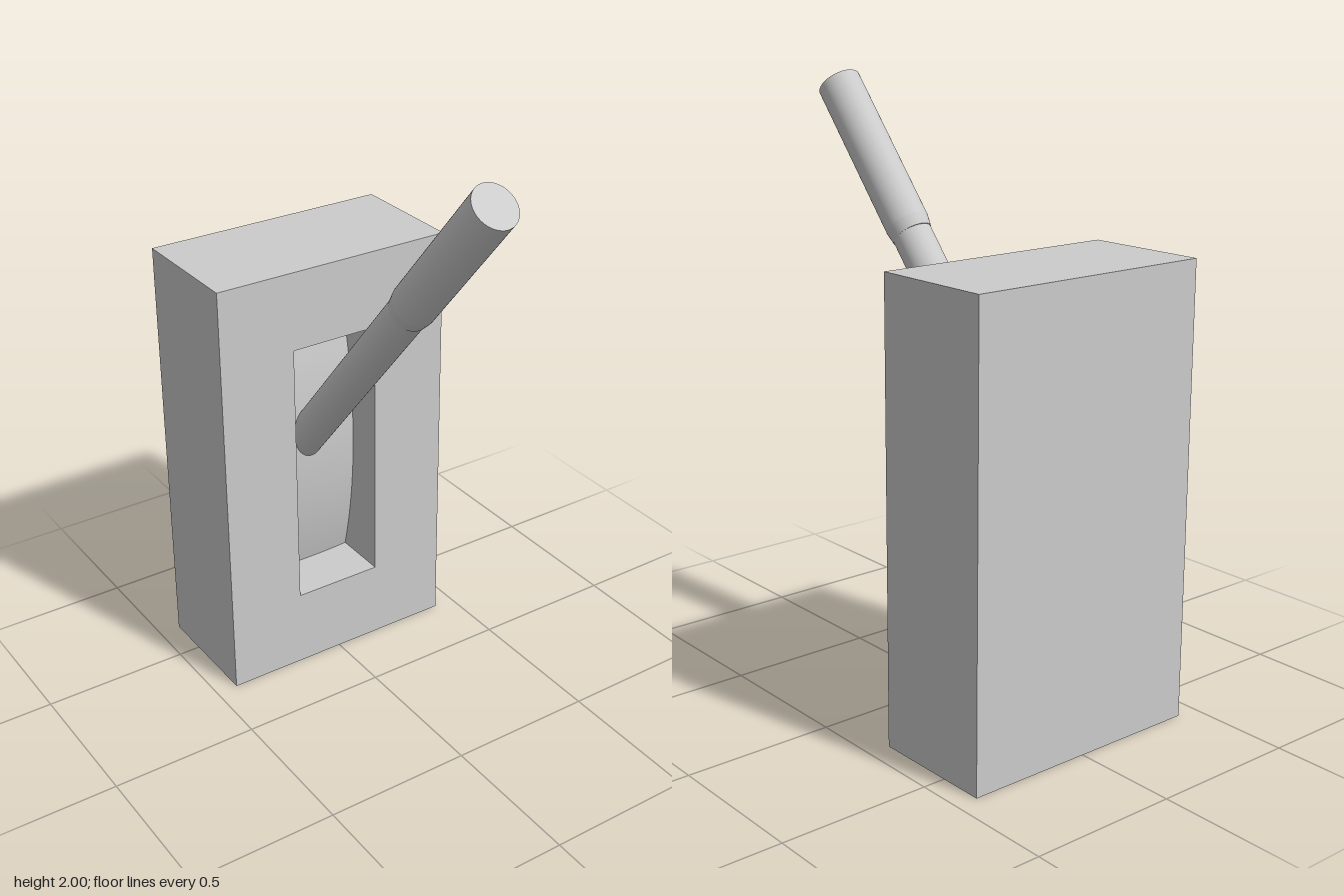
import * as THREE from 'three';

const material = new THREE.MeshStandardMaterial({ color: 0xcccccc });

function add(parent, name, geometry) {
  const mesh = new THREE.Mesh(geometry, material);
  mesh.name = name;
  parent.add(mesh);
  return mesh;
}

// Rectangle outline, used for the housing and its slot
function rectangle(PathType, x0, y0, x1, y1) {
  return new PathType([[x0, y0], [x1, y0], [x1, y1], [x0, y1]].map(([x, y]) => new THREE.Vector2(x, y)));
}

export function createModel() {
  const model = new THREE.Group();
  model.name = 'leverSwitch';

  const halfWidth = 0.425, height = 1.49;
  const frontZ = -0.23, backZ = -0.65, splitZ = -0.45;
  const slot = { x0: -0.158, x1: 0.155, y0: 0.275, y1: 1.22 };

  // Front of the housing with the slot cut through
  const face = rectangle(THREE.Shape, -halfWidth, 0, halfWidth, height);
  face.holes.push(rectangle(THREE.Path, slot.x0, slot.y0, slot.x1, slot.y1));
  const front = add(model, 'housingFront',
    new THREE.ExtrudeGeometry(face, { depth: frontZ - splitZ, bevelEnabled: false }));
  front.position.z = splitZ;

  // Solid back of the housing
  const back = add(model, 'housingBack',
    new THREE.BoxGeometry(halfWidth * 2, height, splitZ - backZ));
  back.position.set(0, height / 2, (splitZ + backZ) / 2);

  // Slot floor: a patch of a large sphere bulging toward the front
  const radius = 1.95, apexZ = frontZ - 0.13;
  const floor = new THREE.PlaneGeometry(slot.x1 - slot.x0, slot.y1 - slot.y0, 12, 32);
  const p = floor.attributes.position;
  for (let i = 0; i < p.count; i++) {
    const x = p.getX(i), y = p.getY(i);
    p.setZ(i, Math.sqrt(radius * radius - x * x - y * y) - radius);
  }
  floor.computeVertexNormals();
  add(model, 'slotFloor', floor)
    .position.set((slot.x0 + slot.x1) / 2, (slot.y0 + slot.y1) / 2, apexZ);

  // Lever, built downward from the centre of its tip, then tilted forward
  const lever = new THREE.Group();
  lever.name = 'lever';
  lever.position.set(-0.019, 1.949, 0.594);
  lever.rotation.x = 0.706;
  model.add(lever);

  const rodLength = 1.1;
  const rod = add(lever, 'rod', new THREE.CylinderGeometry(0.065, 0.065, rodLength, 48));
  rod.position.y = -0.5 - rodLength / 2;

  // Grip: slightly oval, with a short taper down to the rod
  const grip = add(lever, 'grip', new THREE.CylinderGeometry(0.071, 0.071, 0.56, 48));
  grip.position.y = -0.28;
  grip.scale.z = 1.055;
  const taper = add(lever, 'gripTaper', new THREE.CylinderGeometry(0.071, 0.065, 0.04, 48));
  taper.position.y = -0.58;
  taper.scale.z = 1.055;

  return model;
}
